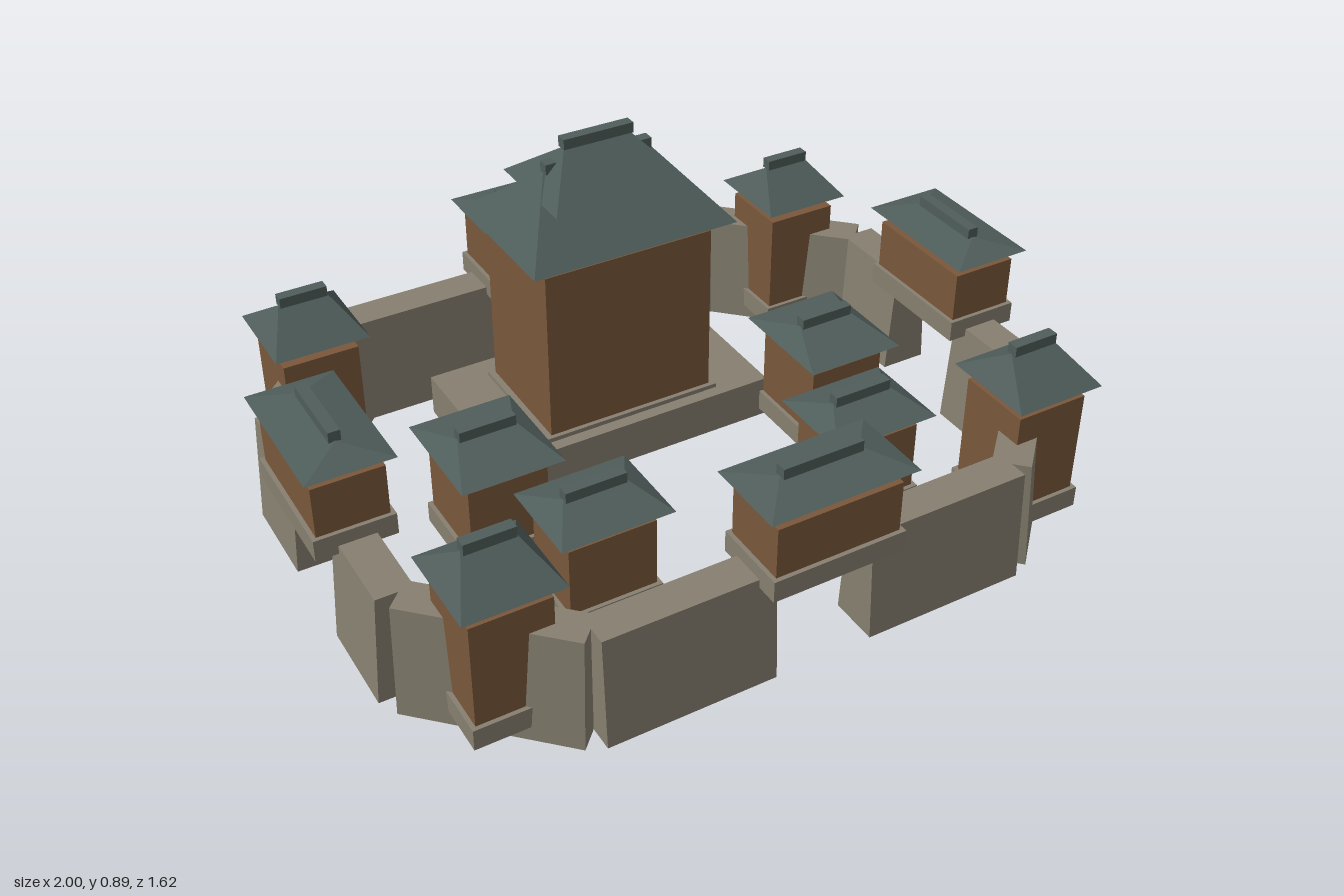
import * as THREE from 'three';

const mat = (name, color) => {
  const m = new THREE.MeshStandardMaterial({ color, side: THREE.DoubleSide });
  m.name = name;
  return m;
};

// Hollow block without a floor: w x d at y0, tapering to tw x td at y1 (td = 0 gives a hip roof)
function blockGeometry(w, d, y0, y1, tw = w, td = d) {
  const g = new THREE.BoxGeometry(1, 1, 1);
  const index = Array.from(g.index.array);
  index.splice(18, 6);
  if (td === 0) index.splice(12, 6);
  g.setIndex(index);
  const p = g.attributes.position;
  for (let i = 0; i < p.count; i++) {
    const top = p.getY(i) > 0;
    p.setXYZ(i, p.getX(i) * (top ? tw : w), top ? y1 : y0, p.getZ(i) * (top ? td : d));
  }
  const flat = g.toNonIndexed();
  flat.computeVertexNormals();
  return flat;
}

export function createModel() {
  const model = new THREE.Group();
  model.name = 'walledCastle';
  const stone = mat('stone', 0x878070);
  const timber = mat('timber', 0x7a573b);
  const tile = mat('roofTile', 0x4f5d5a);

  const add = (parent, name, material, ...dims) => {
    const mesh = new THREE.Mesh(blockGeometry(...dims), material);
    mesh.name = name;
    parent.add(mesh);
    return mesh;
  };
  const group = (name, x, z, turn = 0) => {
    const g = new THREE.Group();
    g.name = name;
    g.position.set(x, 0, z);
    g.rotation.y = turn;
    model.add(g);
    return g;
  };

  // Hip roof with a ridge beam on top
  const addRoof = (g, name, w, d, y0, y1, ridge, beam, beamWidth = 0.03) => {
    add(g, name, tile, w, d, y0, y1, ridge, 0);
    add(g, name + 'Ridge', tile, beam, beamWidth, y1 - 0.003, y1 + 0.025);
  };

  // Stone footing, timber body and roof
  const addBuilding = (name, x, z, turn, o) => {
    const g = group(name, x, z, turn);
    add(g, 'footing', stone, o.w + 0.022, o.d + 0.022, o.y, o.y + 0.057);
    add(g, 'body', timber, o.w, o.d, o.y + 0.057, o.top);
    addRoof(g, 'roof', o.rw, o.rd, o.eave, o.peak, o.ridge, o.ridge);
  };

  // Curtain wall segment between two ground points
  const addWall = (name, x0, z0, x1, z1) => {
    const g = group(name, (x0 + x1) / 2, (z0 + z1) / 2, -Math.atan2(z1 - z0, x1 - x0));
    const length = Math.hypot(x1 - x0, z1 - z0);
    add(g, 'wallBlock', stone, length, 0.13, 0, 0.3, length, 0.094);
  };

  const gate = { w: 0.33, d: 0.18, y: 0.278, top: 0.47, rw: 0.39, rd: 0.22, eave: 0.505, peak: 0.533, ridge: 0.21 };
  const tower = { w: 0.2, d: 0.2, y: 0.038, top: 0.376, rw: 0.25, rd: 0.255, eave: 0.413, peak: 0.497, ridge: 0.125 };
  const frontHouse = { w: 0.23, d: 0.18, y: 0.035, top: 0.28, rw: 0.295, rd: 0.245, eave: 0.315, peak: 0.357, ridge: 0.16 };
  const sideHouse = { ...frontHouse, w: 0.21, d: 0.23, rw: 0.272, rd: 0.31, ridge: 0.15 };

  for (const sx of [1, -1]) {
    const side = sx > 0 ? 'left' : 'right';
    for (const sz of [1, -1]) {
      const end = sz > 0 ? 'Front' : 'Back';
      addWall(side + end + 'Wall', sx * 0.13, sz * 0.698, sx * 0.57, sz * 0.698);
      addWall(side + end + 'SideWall', sx * 0.887, sz * 0.13, sx * 0.887, sz * 0.385);
      addWall(side + end + 'CornerWall', sx * 0.57, sz * 0.697, sx * 0.883, sz * 0.39);
      addBuilding(side + end + 'Tower', sx * 0.728, sz * 0.545, 0, tower);
    }
    addBuilding(side + 'Gatehouse', sx * 0.89, 0, Math.PI / 2, gate);
    addBuilding(side + 'FrontHouse', sx * 0.372, 0.344, 0, frontHouse);
    addBuilding(side + 'SideHouse', sx * 0.49, 0.015, 0, sideHouse);
  }
  addBuilding('frontGatehouse', 0, 0.702, 0, gate);
  addBuilding('backGatehouse', 0, -0.702, 0, gate);

  // Keep: platform, plinth, body and two stacked roofs
  const keep = group('keep', 0, -0.315);
  add(keep, 'platform', stone, 0.79, 0.46, 0.012, 0.128).position.z = -0.017;
  add(keep, 'plinth', stone, 0.51, 0.36, 0.128, 0.14);
  add(keep, 'keepBody', timber, 0.475, 0.335, 0.14, 0.615);
  addRoof(keep, 'lowerRoof', 0.575, 0.425, 0.648, 0.81, 0.3, 0.3);
  addRoof(keep, 'upperRoof', 0.38, 0.295, 0.76, 0.866, 0.18, 0.196);

  return model;
}
